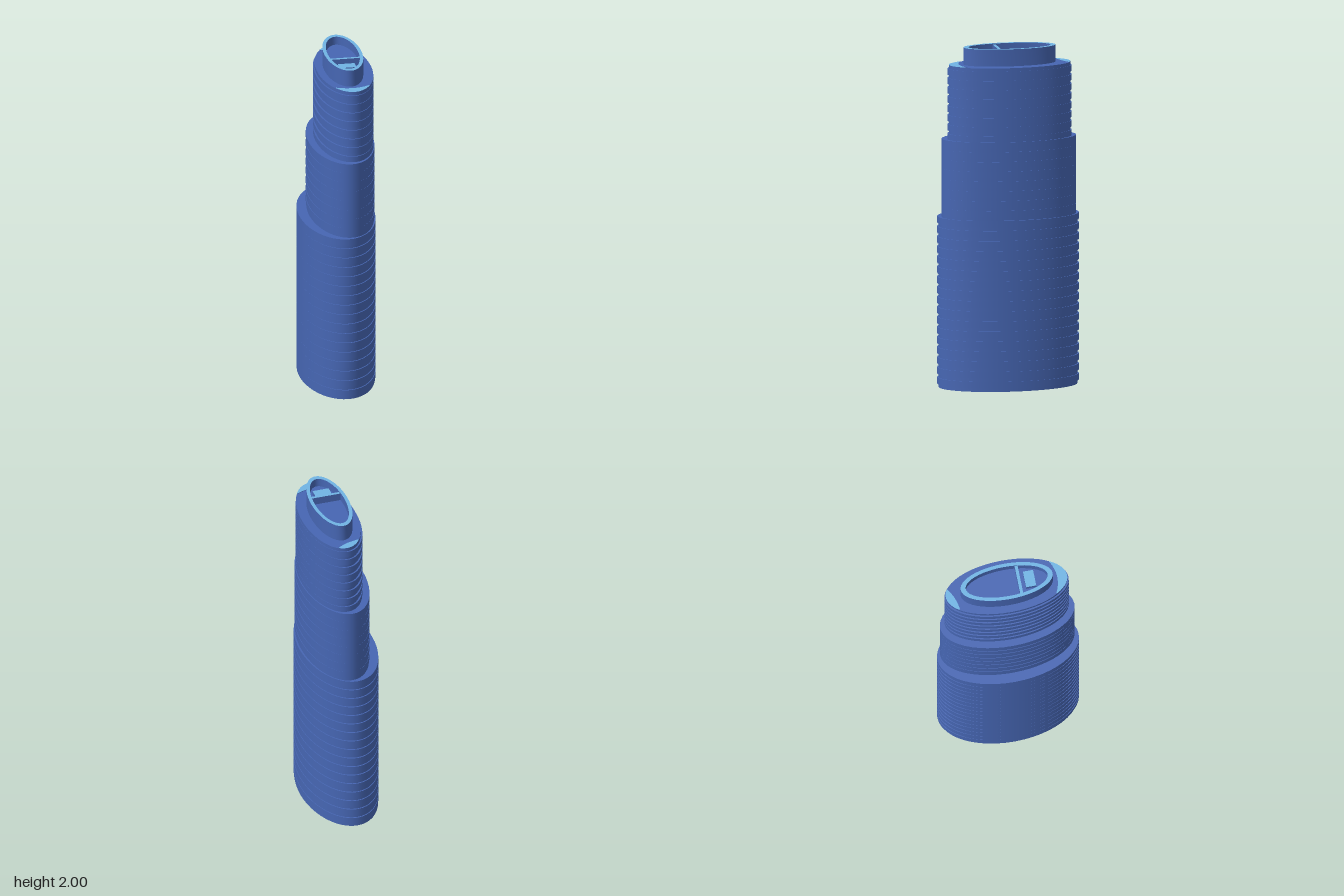
import * as THREE from 'three';
import { toCreasedNormals } from 'three/addons/utils/BufferGeometryUtils.js';

const blue = new THREE.MeshStandardMaterial({ color: 0x4666b3 });
blue.name = 'facade blue';
const light = new THREE.MeshStandardMaterial({ color: 0x70b4e4 });
light.name = 'light blue';
const dark = new THREE.MeshStandardMaterial({ color: 0x36446c });
dark.name = 'dark underside';

export function createModel() {
  const model = new THREE.Group();

  function add(parent, name, geometry, material) {
    const mesh = new THREE.Mesh(geometry, material);
    mesh.name = name;
    parent.add(mesh);
    return mesh;
  }

  // Upright elliptical slab
  function oval(parent, name, [cx, rx, rz], y0, y1, material = blue) {
    const g = new THREE.CylinderGeometry(1, 1, y1 - y0, 48);
    g.scale(rx, 1, rz);
    g.translate(cx, (y0 + y1) / 2, 0);
    return add(parent, name, g, material);
  }

  // Plan shape raised from y0 by h; shape y points to -z
  function raise(shape, y0, h) {
    const g = new THREE.ExtrudeGeometry(shape, { depth: h, bevelEnabled: false, curveSegments: 24 });
    g.rotateX(-Math.PI / 2);
    g.translate(0, y0, 0);
    return toCreasedNormals(g, 0.6);
  }

  // Tiers: a core with slightly wider floor slabs; ellipses are [centre x, x radius, z radius]
  const tiers = [
    { name: 'baseTier', y0: 0, y1: 1.005, core: [-0.0015, 0.2185, 0.408], slab: [0, 0.22, 0.416], floors: 17, drop: 0 },
    { name: 'middleTier', y0: 1.005, y1: 1.465, core: [0.024, 0.186, 0.395], slab: [0.024, 0.189, 0.395], floors: 8, drop: 0 },
    { name: 'upperTier', y0: 1.465, y1: 1.9, core: [0.0465, 0.1605, 0.357], slab: [0.0425, 0.1655, 0.365], floors: 8, drop: 0.02 },
  ];
  for (const t of tiers) {
    const tier = new THREE.Group();
    tier.name = t.name;
    model.add(tier);
    oval(tier, 'core', t.core, t.y0, t.y1, [blue, blue, dark]);
    const step = (t.y1 - t.y0) / t.floors;
    for (let i = 0; i < t.floors; i++) {
      const top = t.y1 - i * step - t.drop;
      oval(tier, 'floorSlab', t.slab, Math.max(top - step * 0.65, t.y0), top);
    }
  }

  // Light crescents on the upper roof
  function crescent(name, a, b, control, sign) {
    const [cx, rx, rz] = tiers[2].core;
    const s = new THREE.Shape();
    s.moveTo(...a);
    for (let i = 0; i <= 16; i++) {
      const x = a[0] + ((b[0] - a[0]) * i) / 16;
      s.lineTo(x, sign * rz * Math.sqrt(1 - ((x - cx) / rx) ** 2));
    }
    s.lineTo(...b);
    s.quadraticCurveTo(...control, ...a);
    add(model, name, raise(s, 1.9, 0.002), [light, blue]);
  }
  crescent('frontRoofCrescent', [-0.05, -0.275], [0.148, -0.27], [0.05, -0.325], -1);
  crescent('backRoofCrescent', [-0.042, 0.29], [0.092, 0.34], [0.04, 0.3], 1);

  // Crown: a hollow oval wall with a light rim and a sunken floor
  const crown = new THREE.Group();
  crown.name = 'crown';
  model.add(crown);
  const ring = new THREE.Shape();
  ring.absellipse(0.04, 0, 0.11, 0.271, 0, Math.PI * 2, false);
  const hole = new THREE.Path();
  hole.absellipse(0.04, 0, 0.09, 0.241, 0, Math.PI * 2, true);
  ring.holes.push(hole);
  add(crown, 'parapet', raise(ring, 1.9, 0.1), [light, blue]);
  oval(crown, 'crownFloor', [0.04, 0.095, 0.246], 1.9, 1.95);

  // Light-topped partition and plant box inside the crown
  function block(name, x, z, w, d, y1) {
    const g = new THREE.BoxGeometry(w, y1 - 1.94, d);
    g.translate(x, (y1 + 1.94) / 2, z);
    add(crown, name, g, [blue, blue, light, blue, blue, blue]);
  }
  block('partition', 0.04, 0.072, 0.18, 0.018, 1.995);
  block('plantBox', 0.041, 0.135, 0.098, 0.06, 1.975);

  return model;
}
